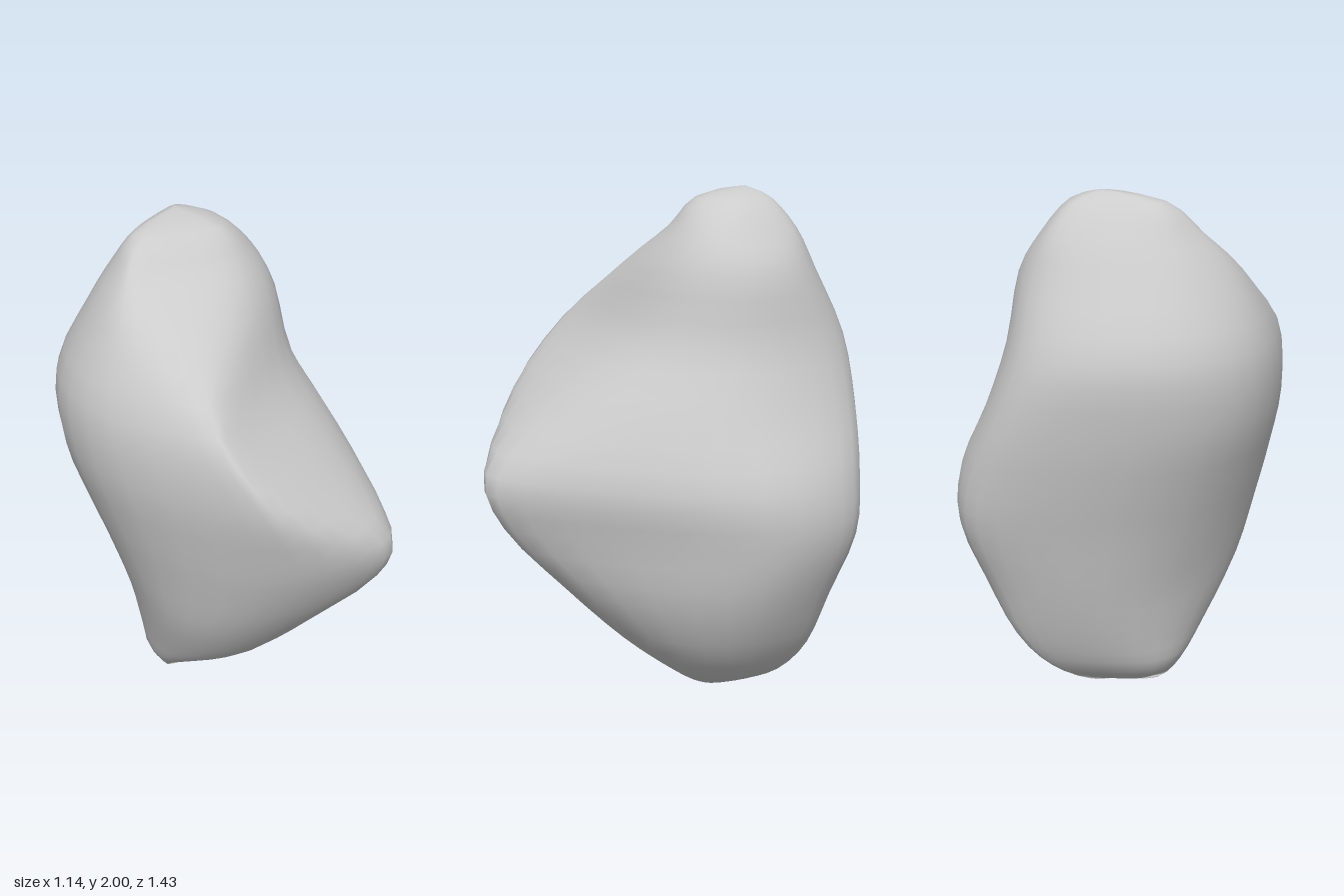
import * as THREE from 'three';
import { mergeVertices } from 'three/addons/utils/BufferGeometryUtils.js';

// Each section: height, then how far the rock reaches in eight directions,
// turning in 45 degree steps from +x through +z (front), -x and -z (back).
const SECTIONS = [
  [0.00, -0.03, -0.113, -0.13, -0.07, 0.03, 0.113, 0.13, 0.07],
  [0.03, 0.07, -0.01, -0.05, 0.10, 0.15, 0.18, 0.26, 0.16],
  [0.12, 0.21, 0.12, 0.09, 0.19, 0.25, 0.28, 0.41, 0.33],
  [0.27, 0.365, 0.30, 0.28, 0.28, 0.285, 0.35, 0.53, 0.47],
  [0.50, 0.48, 0.52, 0.46, 0.39, 0.335, 0.42, 0.62, 0.59],
  [0.75, 0.53, 0.73, 0.61, 0.46, 0.415, 0.48, 0.715, 0.67],
  [0.96, 0.56, 0.78, 0.69, 0.51, 0.49, 0.53, 0.715, 0.66],
  [1.20, 0.47, 0.56, 0.70, 0.55, 0.565, 0.575, 0.67, 0.55],
  [1.45, 0.34, 0.31, 0.56, 0.53, 0.57, 0.585, 0.60, 0.46],
  [1.70, 0.29, 0.19, 0.27, 0.40, 0.45, 0.46, 0.50, 0.42],
  [1.85, 0.21, 0.09, 0.07, 0.26, 0.35, 0.37, 0.43, 0.33],
  [1.96, 0.09, -0.01, -0.04, 0.13, 0.26, 0.28, 0.33, 0.23],
  [2.00, -0.07, -0.205, -0.22, -0.106, 0.07, 0.205, 0.22, 0.106],
];
const ROWS_PER_SECTION = 3;
const STEPS_PER_SIDE = 4;

// Smooth blend of the sections at position t (in section units).
function sectionAt(t) {
  const last = SECTIONS.length - 1;
  const i = Math.min(Math.floor(t), last - 1);
  const f = t - i;
  const at = (k) => SECTIONS[THREE.MathUtils.clamp(k, 0, last)];
  return SECTIONS[0].map((_, c) => {
    const p0 = at(i - 1)[c], p1 = at(i)[c], p2 = at(i + 1)[c], p3 = at(i + 2)[c];
    return p1 + 0.5 * f * (p2 - p0 + f * (2 * p0 - 5 * p1 + 4 * p2 - p3 + f * (3 * (p1 - p2) + p3 - p0)));
  });
}

// Rounded outline touching the eight reach lines.
function outline(reach) {
  const corners = reach.map((h, i) => {
    const a = (i * Math.PI) / 4;
    const along = (reach[(i + 1) % 8] - h * Math.SQRT1_2) * Math.SQRT2;
    return new THREE.Vector2(
      h * Math.cos(a) - along * Math.sin(a),
      h * Math.sin(a) + along * Math.cos(a));
  });
  const points = [];
  corners.forEach((corner, i) => {
    const start = corners[(i + 7) % 8].clone().lerp(corner, 0.5);
    const end = corner.clone().lerp(corners[(i + 1) % 8], 0.5);
    const bend = new THREE.QuadraticBezierCurve(start, corner, end);
    for (let s = 0; s < STEPS_PER_SIDE; s++) points.push(bend.getPoint(s / STEPS_PER_SIDE));
  });
  return points;
}

function rockGeometry() {
  const rows = (SECTIONS.length - 1) * ROWS_PER_SECTION;
  const n = 8 * STEPS_PER_SIDE;
  const positions = [];
  const indices = [];
  for (let r = 0; r <= rows; r++) {
    const [y, ...reach] = sectionAt(r / ROWS_PER_SECTION);
    for (const p of outline(reach)) positions.push(p.x, y, p.y);
    if (r === rows) break;
    for (let k = 0; k < n; k++) {
      const a = r * n + k;
      const b = r * n + ((k + 1) % n);
      if (r < rows - 1) indices.push(a + n, b + n, b);
      if (r > 0) indices.push(a, a + n, b);
      else indices.push(a, a + n, b + n);
      if (r === 0) indices.splice(-6, 3);
    }
  }
  const geometry = new THREE.BufferGeometry();
  geometry.setAttribute('position', new THREE.Float32BufferAttribute(positions, 3));
  geometry.setIndex(indices);
  // Weld the top and bottom points so shading stays smooth there
  const welded = mergeVertices(geometry, 1e-4);
  welded.computeVertexNormals();
  return welded;
}

export function createModel() {
  const group = new THREE.Group();
  group.name = 'boulder';
  const rock = new THREE.Mesh(rockGeometry(), new THREE.MeshStandardMaterial({ color: 0xcccccc }));
  rock.name = 'rock';
  group.add(rock);
  return group;
}
